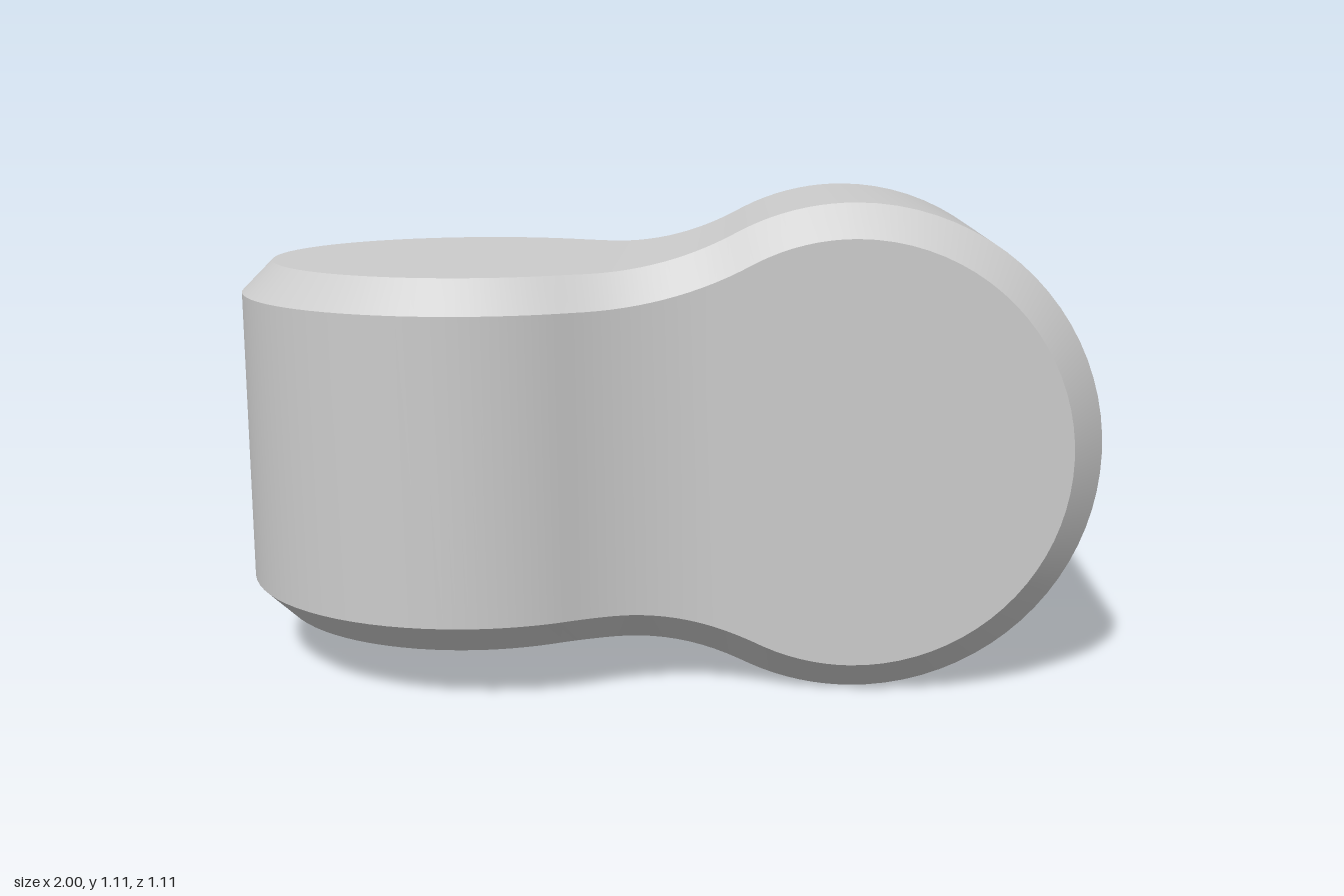
import * as THREE from 'three';
import { mergeVertices } from 'three/addons/utils/BufferGeometryUtils.js';

const R = 0.5535;           // lobe radius
const FILLET = 0.687;       // concave neck radius
const BEVEL = 0.073;        // bevel width
const XC = 1 - R;           // lobe centre
const UP = 0.4, DOWN = 0.433; // half thickness on the +y/+z and -y/-z sides

// Half width of the lobe-and-neck outline at u (lobe towards +u), offset inwards by inset.
function outline(u, flat, inset) {
  const r = R - inset;
  const dx = Math.sqrt((R + FILLET) ** 2 - (flat + FILLET) ** 2);
  const filletX = XC - dx;
  if (u >= XC - dx * r / (R + FILLET)) return Math.sqrt(Math.max(0, r * r - (u - XC) ** 2));
  if (u > filletX) return flat + FILLET - Math.sqrt((FILLET + inset) ** 2 - (u - filletX) ** 2);
  return flat - inset;
}

// Stations along x: wall edge x and matching cap edge x, rounded at both ends.
function makeStations() {
  const stations = [];
  const ARC = 20, MID = 32, r = R - BEVEL;
  for (let i = 0; i < ARC; i++) {
    const c = Math.cos(i / ARC * Math.PI / 2);
    stations.push([-XC - R * c, -XC - r * c]);
  }
  for (let i = 0; i < MID; i++) {
    const x = -XC + 2 * XC * i / MID;
    stations.push([x, x]);
  }
  for (let i = 0; i <= ARC; i++) {
    const s = Math.sin(i / ARC * Math.PI / 2);
    stations.push([XC + r * s, XC + R * s]);
  }
  return stations;
}

const flatFor = (sign) => (sign > 0 ? UP : DOWN);

// Wall edge: full depth, inset height.
const wallPoint = ([x], sy, sz) => [
  x, R + sy * outline(x, flatFor(sy), BEVEL), sz * outline(-x, flatFor(sz), 0)];

// Cap edge: full height, inset depth.
const capPoint = ([, x], sy, sz) => [
  x, R + sy * outline(x, flatFor(sy), 0), sz * outline(-x, flatFor(sz), BEVEL)];

// Ribbon of quads between pairs of points, smooth within the ribbon.
function ribbon(name, pairs, material) {
  const positions = [];
  for (let i = 0; i + 1 < pairs.length; i++) {
    const [a0, b0] = pairs[i];
    const [a1, b1] = pairs[i + 1];
    positions.push(...a0, ...b0, ...b1, ...a0, ...b1, ...a1);
  }
  const raw = new THREE.BufferGeometry();
  raw.setAttribute('position', new THREE.Float32BufferAttribute(positions, 3));
  const geometry = mergeVertices(raw, 1e-4);
  geometry.computeVertexNormals();
  const mesh = new THREE.Mesh(geometry, material);
  mesh.name = name;
  return mesh;
}

export function createModel() {
  const group = new THREE.Group();
  group.name = 'twistedDoubleLobe';
  const material = new THREE.MeshStandardMaterial({ color: 0xcccccc });
  const forward = makeStations();
  const back = [...forward].reverse();

  // Front wall, round the left end, then back wall
  const wall = (list, sz) => list.map((s) => [wallPoint(s, -1, sz), wallPoint(s, 1, sz)]);
  group.add(ribbon('sideWalls', [...wall(back, 1), ...wall(forward, -1)], material));

  // Top, round the right end, then underside
  const cap = (list, sy) => list.map((s) => [capPoint(s, sy, -1), capPoint(s, sy, 1)]);
  group.add(ribbon('topAndUnderside', [...cap(forward, 1), ...cap(back, -1)], material));

  // One closed bevel running along all four edges
  const bevel = (list, sy, sz) => list.map((s) => [wallPoint(s, sy, sz), capPoint(s, sy, sz)]);
  group.add(ribbon('bevel', [
    ...bevel(back, 1, 1), ...bevel(forward, 1, -1),
    ...bevel(back, -1, -1), ...bevel(forward, -1, 1),
  ], material));

  return group;
}
